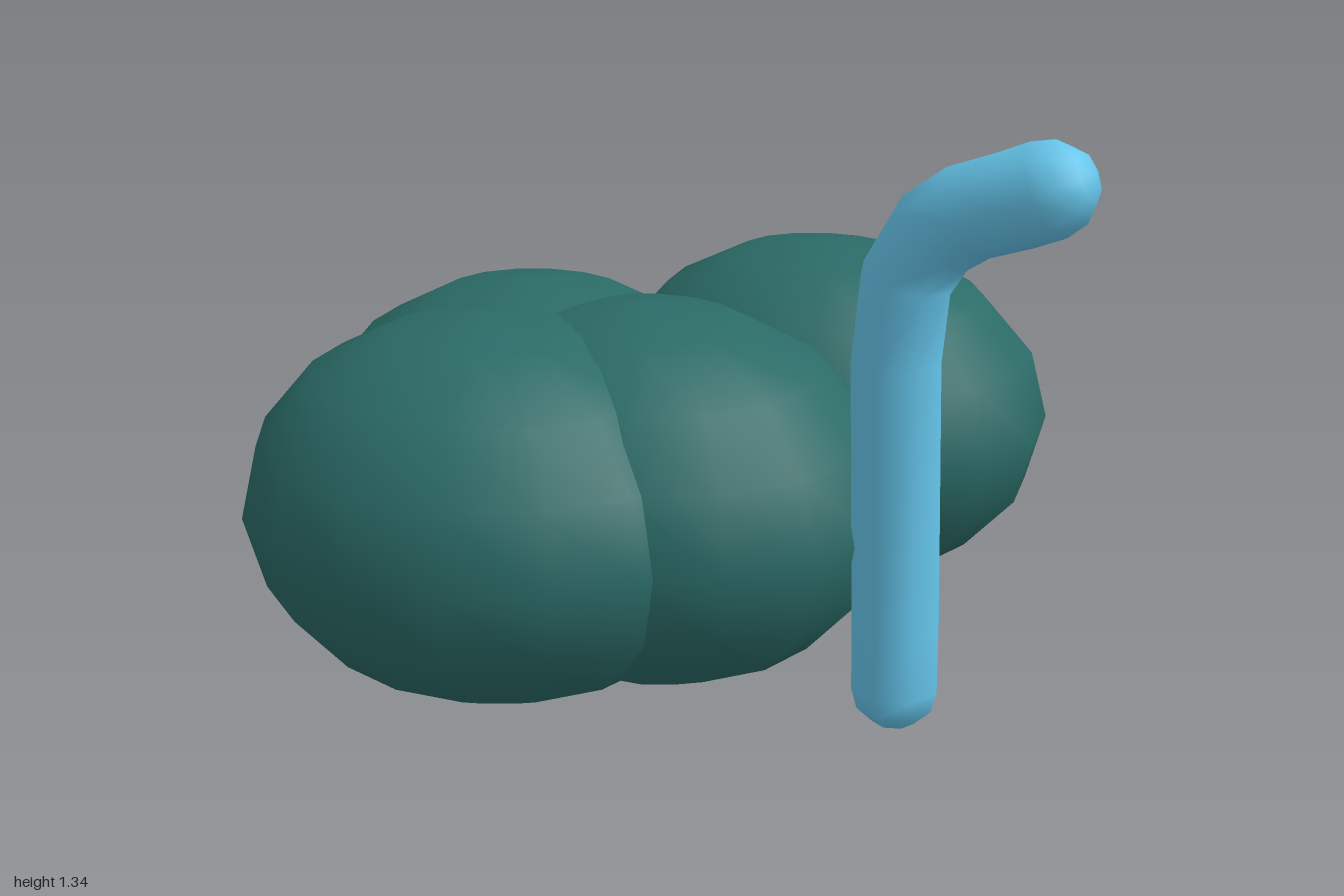
import * as THREE from 'three';
import { mergeVertices } from 'three/addons/utils/BufferGeometryUtils.js';

// Centre line of the bent tube: x, y and lean in degrees (clockwise from up)
const PATH = [
  [0.585, 0.11, 0], [0.583, 0.25, -1], [0.565, 0.85, 1], [0.582, 1.03, 13],
  [0.64, 1.13, 43], [0.71, 1.18, 60], [0.81, 1.217, 65], [0.875, 1.245, 65],
];
const TUBE_R = 0.1;
const TUBE_Z = 0.237;

// Adds rounded end caps as shrinking stations beyond both ends of the path
function stationsWithCaps() {
  const capStation = ([x, y, lean], latitude) => {
    const a = THREE.MathUtils.degToRad(lean);
    const along = TUBE_R * Math.sin(THREE.MathUtils.degToRad(latitude));
    const r = TUBE_R * Math.cos(THREE.MathUtils.degToRad(latitude));
    return { x: x + Math.sin(a) * along, y: y + Math.cos(a) * along, a, r };
  };
  const first = PATH[0], last = PATH[PATH.length - 1];
  return [
    ...[-90, -60, -30].map((l) => capStation(first, l)),
    ...PATH.map((p) => capStation(p, 0)),
    ...[30, 60, 90].map((l) => capStation(last, l)),
  ];
}

// Eight-sided tube: each ring of an open cylinder is moved to its station
function tubeGeometry() {
  const stations = stationsWithCaps();
  const rows = stations.length - 1;
  let geo = new THREE.CylinderGeometry(1, 1, 1, 8, rows, true);
  const pos = geo.attributes.position;
  for (let i = 0; i < pos.count; i++) {
    const s = stations[Math.round((pos.getY(i) + 0.5) * rows)];
    const across = pos.getX(i) * s.r;
    pos.setXYZ(i, s.x + Math.cos(s.a) * across, s.y - Math.sin(s.a) * across, TUBE_Z + pos.getZ(i) * s.r);
  }
  geo.deleteAttribute('normal');
  geo.deleteAttribute('uv');
  geo = mergeVertices(geo, 1e-5);
  geo.computeVertexNormals();
  return geo;
}

export function createModel() {
  const model = new THREE.Group();
  model.name = 'blobsWithBentTube';

  // Four overlapping flattened spheres
  const green = new THREE.MeshStandardMaterial({ color: 0x2b6b67 });
  const sphere = new THREE.SphereGeometry(1, 16, 8);
  const blobs = [
    ['backBlob', 0.025, -0.488],
    ['rightSideBlob', -0.395, 0.175],
    ['leftSideBlob', -0.05, 0.23],
    ['frontBlob', -0.308, 0.485],
  ];
  for (const [name, x, z] of blobs) {
    const blob = new THREE.Mesh(sphere, green);
    blob.name = name;
    blob.position.set(x, 0.442, z);
    blob.scale.set(0.585, 0.437, 0.512);
    model.add(blob);
  }

  // Upright tube bent outwards at the top
  const tube = new THREE.Mesh(tubeGeometry(), new THREE.MeshStandardMaterial({ color: 0x66c6ec }));
  tube.name = 'bentTube';
  model.add(tube);

  return model;
}
